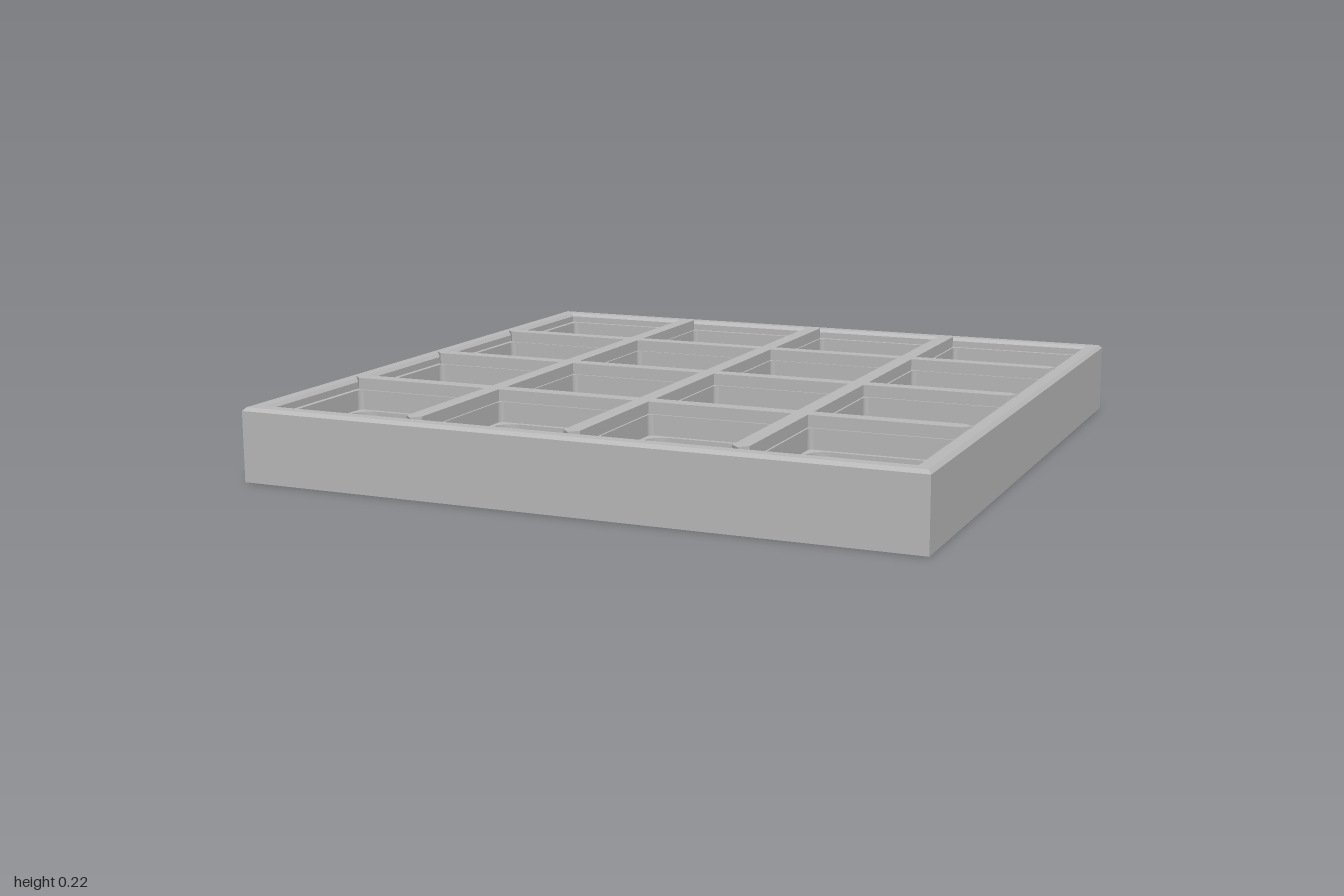
import * as THREE from 'three';

const FLOOR = 0.09, STEP = 0.125, LEDGE = 0.185, RIM = 0.215, TOP = 0.22;
const CELLS = [-0.72, -0.24, 0.24, 0.72];

// Rounded square outline centred on (cx, cy)
function roundedSquare(cx, cy, half, r, Type = THREE.Shape) {
  const s = new Type();
  const k = half - r;
  s.absarc(cx + k, cy + k, r, 0, Math.PI / 2);
  s.absarc(cx - k, cy + k, r, Math.PI / 2, Math.PI);
  s.absarc(cx - k, cy - k, r, Math.PI, Math.PI * 1.5);
  s.absarc(cx + k, cy - k, r, Math.PI * 1.5, Math.PI * 2);
  s.closePath();
  return s;
}

// Flat shape in plan, raised from y0 to y1
function slab(shape, y0, y1) {
  const g = new THREE.ExtrudeGeometry(shape, { depth: y1 - y0, bevelEnabled: false, curveSegments: 6 });
  return g.rotateX(-Math.PI / 2).translate(0, y0, 0);
}

// Layer pierced by the sixteen compartments
function piercedLayer(half, r, y0, y1) {
  const shape = new THREE.Shape([[-1, -1], [1, -1], [1, 1], [-1, 1]]
    .map(([x, y]) => new THREE.Vector2(x * 0.95, y * 0.95)));
  for (const x of CELLS) for (const y of CELLS) shape.holes.push(roundedSquare(x, y, half, r, THREE.Path));
  return slab(shape, y0, y1);
}

// Round stud with a narrow chamfer at its top edge
function studGeometry(r, y0, y1) {
  const pts = [[r, y0], [r, y1 - 0.007], [r - 0.007, y1], [0, y1]].map(([x, y]) => new THREE.Vector2(x, y));
  return new THREE.LatheGeometry(pts, 24);
}

export function createModel() {
  const model = new THREE.Group();
  model.name = 'compartmentTray';
  const grey = new THREE.MeshStandardMaterial({ color: 0xb8b8b8 });
  grey.name = 'plain grey';

  const add = (parent, name, geometry, x = 0, z = 0) => {
    const mesh = new THREE.Mesh(geometry, grey);
    mesh.name = name;
    mesh.position.set(x, 0, z);
    parent.add(mesh);
    return mesh;
  };

  // Square outer shell: underside, sides and chamfered rim
  const profile = [[0, 0], [1, 0], [1, RIM - 0.01], [0.99, RIM], [0.955, RIM], [0.945, RIM - 0.01], [0.945, LEDGE - 0.01]]
    .map(([x, y]) => new THREE.Vector2(x * Math.SQRT2, y));
  const shell = new THREE.LatheGeometry(profile, 4).rotateY(Math.PI / 4).toNonIndexed();
  shell.computeVertexNormals();
  add(model, 'outerShell', shell);

  // Stepped compartment walls above the floor
  add(model, 'floor', new THREE.BoxGeometry(1.9, 0.04, 1.9).translate(0, FLOOR - 0.02, 0));
  add(model, 'lowerWalls', piercedLayer(0.195, 0.055, FLOOR, STEP));
  add(model, 'upperWalls', piercedLayer(0.21, 0.015, STEP, LEDGE));

  // Crossing divider ribs with pointed ends
  const w = 0.024, e = 0.96;
  const rib = slab(new THREE.Shape([[-e, 0], [-e + w, -w], [e - w, -w], [e, 0], [e - w, w], [-e + w, w]]
    .map(([x, y]) => new THREE.Vector2(x, y))), LEDGE, TOP);
  for (const p of [-0.48, 0, 0.48]) {
    add(model, 'crossRib', rib, 0, p);
    add(model, 'lengthRib', rib, p, 0).rotation.y = Math.PI / 2;
  }

  // Raised pad, four central studs and four corner studs in each compartment
  const pad = slab(roundedSquare(0, 0, 0.117, 0.035), FLOOR, 0.105);
  const innerStud = studGeometry(0.055, 0.105, 0.127);
  const cornerStud = studGeometry(0.053, FLOOR, 0.115);
  for (const x of CELLS) for (const z of CELLS) {
    const cell = new THREE.Group();
    cell.name = 'compartmentStuds';
    cell.position.set(x, 0, z);
    add(cell, 'centrePad', pad);
    for (const sx of [-1, 1]) for (const sz of [-1, 1]) {
      add(cell, 'innerStud', innerStud, sx * 0.06, sz * 0.06);
      add(cell, 'cornerStud', cornerStud, sx * 0.14, sz * 0.14);
    }
    model.add(cell);
  }
  return model;
}
